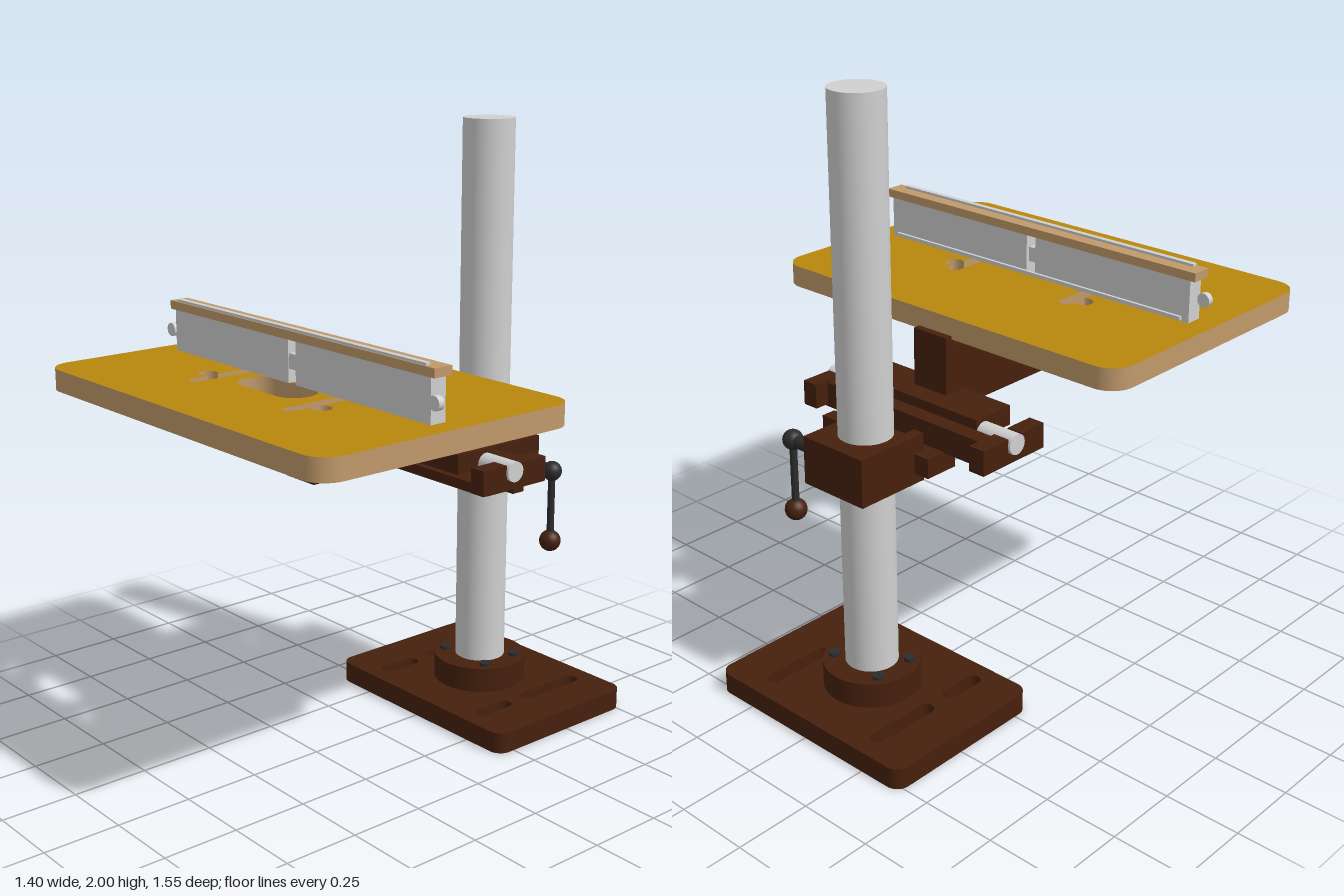
import * as THREE from 'three';

const mat = (name, color, side = THREE.FrontSide) => {
  const m = new THREE.MeshStandardMaterial({ color, side });
  m.name = name;
  return m;
};

export function createModel() {
  const brown = mat('brown paint', 0x46200d);
  const steel = mat('bright steel', 0xd0d0d0);
  const wood = mat('wood', 0xc19a6b);
  const gold = mat('gold laminate', 0xb8860b);
  const black = mat('black', 0x2c2c2c);

  const model = new THREE.Group();
  model.name = 'columnTable';

  const add = (name, geo, material, x = 0, y = 0, z = 0) => {
    const m = new THREE.Mesh(geo, material);
    m.name = name;
    m.position.set(x, y, z);
    model.add(m);
    return m;
  };
  // box given by its limits on each axis
  const box = (name, material, x0, x1, y0, y1, z0, z1) =>
    add(name, new THREE.BoxGeometry(x1 - x0, y1 - y0, z1 - z0), material,
      (x0 + x1) / 2, (y0 + y1) / 2, (z0 + z1) / 2);
  // cylinder along a chosen axis
  const cyl = (name, material, r, len, x, y, z, axis = 'y', seg = 40) => {
    const g = new THREE.CylinderGeometry(r, r, len, seg);
    if (axis === 'x') g.rotateZ(Math.PI / 2);
    if (axis === 'z') g.rotateX(Math.PI / 2);
    return add(name, g, material, x, y, z);
  };
  // rounded rectangle in plan, using x and z limits
  const rounded = (C, x0, x1, z0, z1, r) => {
    const p = new C();
    const a = -z1, b = -z0, q = Math.PI / 2;
    p.moveTo(x0 + r, a);
    p.absarc(x1 - r, a + r, r, -q, 0);
    p.absarc(x1 - r, b - r, r, 0, q);
    p.absarc(x0 + r, b - r, r, q, 2 * q);
    p.absarc(x0 + r, a + r, r, 2 * q, 3 * q);
    p.closePath();
    return p;
  };
  // flat slab standing at y0
  const slab = (name, shape, y0, y1, material) => {
    const g = new THREE.ExtrudeGeometry(shape, { depth: y1 - y0, bevelEnabled: false, curveSegments: 10 });
    g.rotateX(-Math.PI / 2);
    return add(name, g, material, 0, y0, 0);
  };

  // base plate with four slots
  const base = rounded(THREE.Shape, -0.406, 0.406, -0.775, -0.185, 0.045);
  for (const s of [-1, 1]) {
    const cx = s * 0.238;
    base.holes.push(rounded(THREE.Path, cx - 0.025, cx + 0.025, -0.715, -0.455, 0.0249));
    base.holes.push(rounded(THREE.Path, cx - 0.025, cx + 0.025, -0.395, -0.24, 0.0249));
  }
  slab('basePlate', base, 0, 0.07, brown);

  // column, collar and collar bolts
  const cz = -0.48;
  cyl('baseCollar', brown, 0.157, 0.085, 0, 0.1125, cz, 'y', 64);
  cyl('column', steel, 0.085, 1.94, 0, 1.03, cz, 'y', 64);
  for (const sx of [-1, 1]) for (const sz of [-1, 1])
    cyl('collarBolt', black, 0.019, 0.03, sx * 0.1, 0.151, cz + sz * 0.07, 'y', 16);

  // clamp around the column
  box('clampBlock', brown, -0.125, 0.125, 0.785, 0.942, -0.62, -0.4);
  for (const s of [-1, 1])
    box('clampArm', brown, s * 0.105 - 0.02, s * 0.105 + 0.02, 0.785, 0.942, -0.4, -0.36);
  box('clampEar', brown, 0.125, 0.23, 0.805, 0.92, -0.445, -0.395);
  box('clampBridge', brown, -0.18, 0.23, 0.82, 0.885, -0.4, -0.28);

  // clamp lever
  cyl('leverShaft', black, 0.022, 0.14, 0.19, 0.862, -0.545, 'x', 24);
  add('leverHub', new THREE.SphereGeometry(0.033, 24, 16), black, 0.26, 0.862, -0.545);
  cyl('leverRod', black, 0.012, 0.22, 0.26, 0.745, -0.545, 'y', 20);
  add('leverBall', new THREE.SphereGeometry(0.036, 28, 18), brown, 0.26, 0.62, -0.545);

  // tilt bracket: crosspiece, rod and grooved cradles
  box('bracketPlate', brown, -0.34, 0.34, 0.882, 0.915, -0.33, -0.13);
  box('bracketRib', brown, -0.34, 0.34, 0.882, 0.965, -0.33, -0.275);
  cyl('tiltRod', steel, 0.033, 0.79, 0, 0.948, -0.24, 'x', 32);
  for (const s of [-1, 1]) {
    const a = s * 0.358 - 0.028, b = s * 0.358 + 0.028;
    box('cradleBack', brown, a, b, 0.89, 0.972, -0.38, -0.27);
    box('cradleFloor', brown, a, b, 0.89, 0.922, -0.27, -0.21);
    box('cradleFront', brown, a, b, 0.89, 0.972, -0.21, -0.11);
  }
  box('tiltKnuckle', brown, -0.26, 0.26, 0.93, 0.995, -0.272, -0.12);

  // table support
  box('supportWeb', brown, -0.068, 0.068, 0.937, 1.15, -0.2, 0.303);
  box('supportWebBack', brown, -0.068, 0.068, 1.14, 1.185, -0.2, -0.165);
  box('supportPlate', brown, -0.385, 0.385, 1.135, 1.176, -0.01, 0.346);

  // tabletop with centre opening and two keyed slots
  const keySlot = (s) => {
    const p = new THREE.Path();
    const xa = 0.2125, xb = 0.2575, w = 0.0225, r = 0.032;
    p.moveTo(xa, -0.54 + w);
    p.absarc(xa + w, -0.54 + w, w, Math.PI, 2 * Math.PI);
    for (const [kx, kz] of [[0.284, 0.44], [0.274, 0.205]]) {
      const t = Math.PI - Math.acos((kx - xb) / r);
      p.absarc(kx, -kz, r, -t, t);
    }
    p.absarc(xa + w, -0.145 - w, w, 0, Math.PI);
    const pts = p.getPoints(10).map((v) => new THREE.Vector2(s * v.x, v.y));
    return new THREE.Path(pts);
  };
  const top = rounded(THREE.Shape, -0.7, 0.7, -0.175, 0.775, 0.08);
  top.holes.push(rounded(THREE.Path, -0.155, 0.155, 0.315, 0.453, 0.0685));
  top.holes.push(keySlot(1), keySlot(-1));
  slab('tabletop', top, 1.175, 1.241, wood);
  slab('tabletopLaminate', top, 1.241, 1.245, [gold, wood]);

  // two-part fence with a gap in the middle
  for (const s of [-1, 1]) {
    const a = s > 0 ? 0.018 : -0.625, b = s > 0 ? 0.625 : -0.018;
    box('fenceHalf', steel, a, b, 1.245, 1.382, 0.273, 0.328);
    cyl('fenceKnob', steel, 0.022, 0.02, s * 0.645, 1.312, 0.325, 'z', 24);
    box('knobStem', steel, s * 0.635 - 0.015, s * 0.635 + 0.015, 1.304, 1.32, 0.316, 0.328);
  }
  box('fenceLink', steel, -0.018, 0.018, 1.29, 1.338, 0.285, 0.325);
  box('fenceLip', steel, -0.6, 0.6, 1.25, 1.262, 0.263, 0.273);
  box('fenceCap', wood, -0.645, 0.645, 1.382, 1.41, 0.268, 0.334);
  box('capTrack', steel, -0.605, 0.605, 1.409, 1.418, 0.312, 0.33);

  return model;
}
